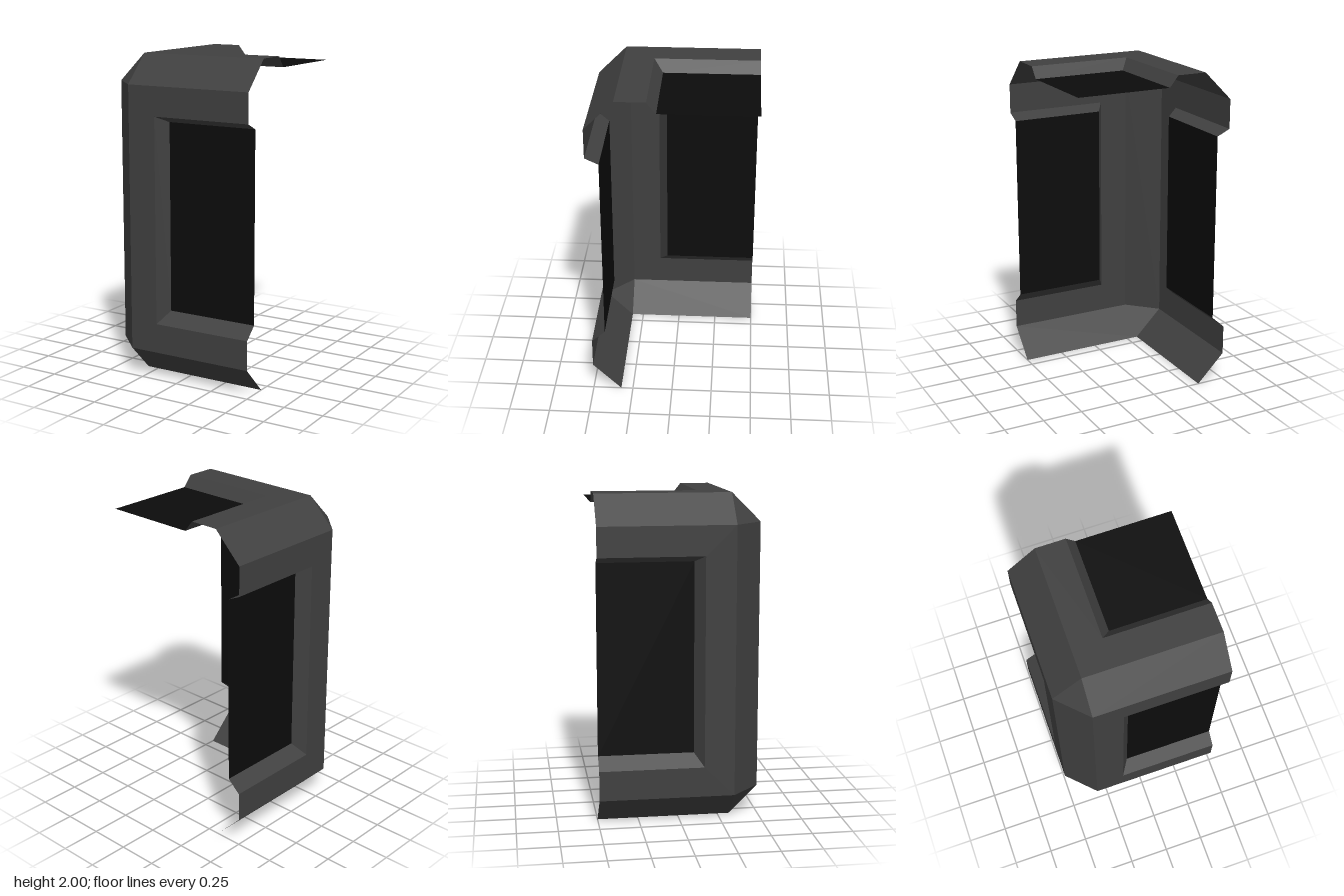
import * as THREE from 'three';

const OUT = 0.5, CUT = 0.324, LOW = 0.176, HIGH = 1.824, TOP = 2; // shell and chamfer limits
const RIM = 0.14, SILL = 0.085;                                    // recess opening and floor edges
const END = 0.5;                                                   // open ends of the corner piece

const frameMat = new THREE.MeshStandardMaterial({ color: 0x404040, flatShading: true, side: THREE.DoubleSide });
const panelMat = new THREE.MeshStandardMaterial({ color: 0x0c0c0c, flatShading: true, side: THREE.DoubleSide });

// Mesh from convex polygons, each fanned into triangles
function polyMesh(name, polys, mat) {
  const pos = [];
  for (const p of polys)
    for (let i = 1; i < p.length - 1; i++) pos.push(...p[0], ...p[i], ...p[i + 1]);
  const geo = new THREE.BufferGeometry();
  geo.setAttribute('position', new THREE.Float32BufferAttribute(pos, 3));
  geo.computeVertexNormals();
  const mesh = new THREE.Mesh(geo, mat);
  mesh.name = name;
  return mesh;
}

// Strip of quads between two paths of equal length
const band = (a, b) => a.slice(1).map((_, i) => [a[i], a[i + 1], b[i + 1], b[i]]);

// Mirror polygons across the corner diagonal, keeping them facing outward
const mirror = polys => polys.map(p => p.map(([x, y, z]) => [-z, y, -x]).reverse());

// C-shaped path on a wall, open towards the free end
const wallPath = (x, y0, y1, z) => [[END, y1, z], [x, y1, z], [x, y0, z], [END, y0, z]];
// L-shaped path on the top
const topPath = (s, y) => [[-s, y, -END], [-s, y, s], [END, y, s]];

export function createModel() {
  const group = new THREE.Group();
  group.name = 'cornerBlock';

  // Walls: flat border, sloped recess, dark panel, top and bottom chamfers
  const outer = wallPath(-CUT, LOW, HIGH, OUT);
  const rim = wallPath(-RIM, 0.36, 1.643, OUT);
  const floor = wallPath(-SILL, 0.434, 1.605, 0.418);
  const parts = [
    ['Border', band(outer, rim), frameMat],
    ['Recess', band(rim, floor), frameMat],
    ['Panel', [floor], panelMat],
    ['TopChamfer', band([[END, TOP, CUT], [-CUT, TOP, CUT]], [[END, HIGH, OUT], [-CUT, HIGH, OUT]]), frameMat],
    ['BottomChamfer', band([[-CUT, 0, CUT], [END, 0, CUT]], [[-CUT, LOW, OUT], [END, LOW, OUT]]), frameMat],
  ];
  for (const [name, polys, mat] of parts) {
    group.add(polyMesh('front' + name, polys, mat));
    group.add(polyMesh('side' + name, mirror(polys), mat));
  }

  // Vertical corner chamfer with a triangle at each end
  const bl = [-OUT, LOW, CUT], br = [-CUT, LOW, OUT], tr = [-CUT, HIGH, OUT], tl = [-OUT, HIGH, CUT];
  group.add(polyMesh('cornerChamfer', [
    [bl, br, tr, tl],
    [tl, tr, [-CUT, TOP, CUT]],
    [br, bl, [-CUT, 0, CUT]],
  ], frameMat));

  // Top: border, sloped recess and dark panel
  const topRim = topPath(RIM, TOP), topFloor = topPath(SILL, 1.932);
  group.add(polyMesh('topBorder', band(topPath(CUT, TOP), topRim), frameMat));
  group.add(polyMesh('topRecess', band(topRim, topFloor), frameMat));
  group.add(polyMesh('topPanel', [[...topFloor, [END, 1.932, -END]]], panelMat));

  return group;
}
